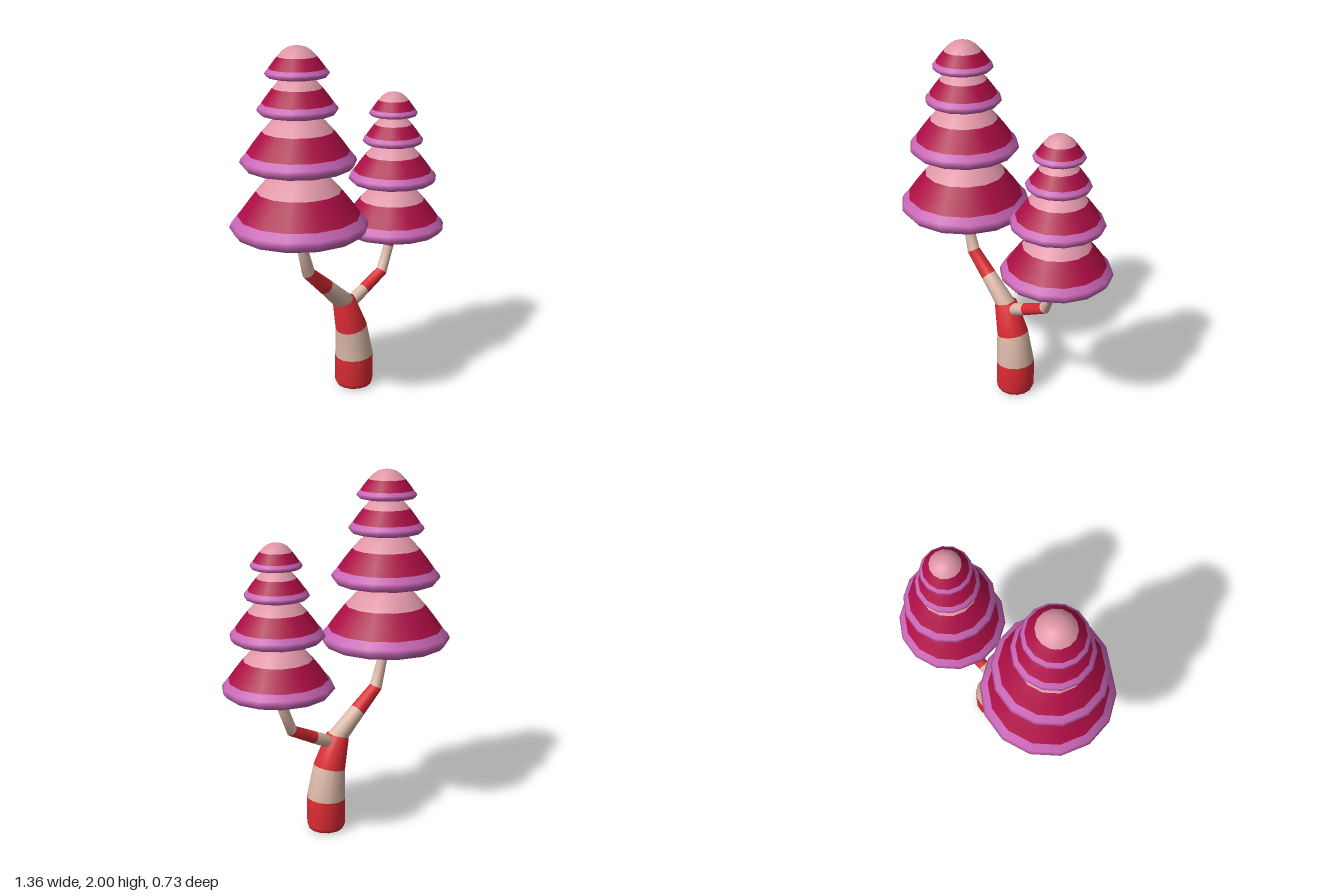
import * as THREE from 'three';

const SIDES = 14;

const mat = (name, color) => {
  const m = new THREE.MeshStandardMaterial({ color });
  m.name = name;
  return m;
};

// Smooth skin over rings [x, y, radius, band]; band colours the strip above the ring.
function loft(name, rings, materials) {
  const pos = [], index = [];
  const geo = new THREE.BufferGeometry();
  const last = rings.length - 1;
  rings.forEach(([x, y, r, band], i) => {
    const a = rings[Math.max(i - 1, 0)], b = rings[Math.min(i + 1, last)];
    const t = new THREE.Vector2(b[0] - a[0], b[1] - a[1]);
    if (t.length() < 1e-6) t.set(0, 1);
    t.normalize();
    for (let s = 0; s < SIDES; s++) {
      const ang = (s / SIDES) * Math.PI * 2;
      const w = r * Math.sin(ang);
      pos.push(x + w * t.y, y - w * t.x, r * Math.cos(ang));
    }
    if (i === last) return;
    geo.addGroup(index.length, SIDES * 6, band);
    for (let s = 0; s < SIDES; s++) {
      const p = i * SIDES + s, q = i * SIDES + (s + 1) % SIDES;
      index.push(p, q, q + SIDES, p, q + SIDES, p + SIDES);
    }
  });
  geo.setAttribute('position', new THREE.Float32BufferAttribute(pos, 3));
  geo.setIndex(index);
  geo.computeVertexNormals();
  const mesh = new THREE.Mesh(geo, materials);
  mesh.name = name;
  return mesh;
}

// Bell-shaped tier profile: radius, height, colour band
const TIER = [
  [0, 0, 0], [0.75, 0, 0], [0.93, 0.04, 0], [1, 0.13, 0], [0.97, 0.2, 0],
  [0.88, 0.3, 1], [0.77, 0.46, 1], [0.61, 0.67, 2], [0.46, 0.84, 2],
  [0.3, 0.95, 2], [0.14, 0.995, 2], [0, 1, 2],
];

function crown(name, x, tiers, materials) {
  const group = new THREE.Group();
  group.name = name;
  tiers.forEach(([y, radius, height], i) => {
    const rings = TIER.map(([r, h, band]) => [x, y + h * height, r * radius, band]);
    group.add(loft(`foliageTier${i + 1}`, rings, materials));
  });
  return group;
}

export function createModel() {
  const bark = [mat('red bark', 0xdb2b33), mat('beige bark', 0xdcb9a9)];
  const leaves = [mat('orchid rim', 0xc865b5), mat('crimson leaf', 0xab0d45), mat('pink leaf', 0xdf95a5)];
  const model = new THREE.Group();
  model.name = 'twinCrownTree';

  // Leaning trunk with a rounded foot
  model.add(loft('trunk', [
    [0.083, 0, 0, 0], [0.083, 0, 0.085, 0], [0.083, 0.008, 0.1, 0], [0.083, 0.03, 0.109, 0],
    [0.083, 0.19, 0.109, 1], [0.06, 0.37, 0.09, 0], [0.002, 0.545, 0.064, 0], [0.002, 0.545, 0, 0],
  ], bark));

  // Two kinked branches, striped
  model.add(loft('rightBranch', [
    [0.02, 0.52, 0, 1], [0.015, 0.525, 0.055, 1], [-0.135, 0.665, 0.044, 0], [-0.262, 0.78, 0.036, 1],
    [-0.308, 0.945, 0.028, 0], [-0.318, 1.06, 0.026, 0], [-0.318, 1.061, 0, 0],
  ], bark));
  model.add(loft('leftBranch', [
    [0.05, 0.515, 0, 1], [0.055, 0.517, 0.036, 1], [0.16, 0.568, 0.034, 0], [0.305, 0.64, 0.032, 1],
    [0.363, 0.785, 0.029, 0], [0.383, 0.91, 0.027, 0], [0.383, 0.911, 0, 0],
  ], bark));

  // Stacked crowns: base height, radius, tier height
  model.add(crown('rightCrown', -0.322, [
    [1.02, 0.366, 0.355], [1.375, 0.303, 0.295], [1.655, 0.208, 0.205], [1.843, 0.164, 0.157],
  ], leaves));
  model.add(crown('leftCrown', 0.385, [
    [0.868, 0.301, 0.292], [1.16, 0.251, 0.243], [1.385, 0.171, 0.168], [1.543, 0.136, 0.134],
  ], leaves));

  return model;
}
